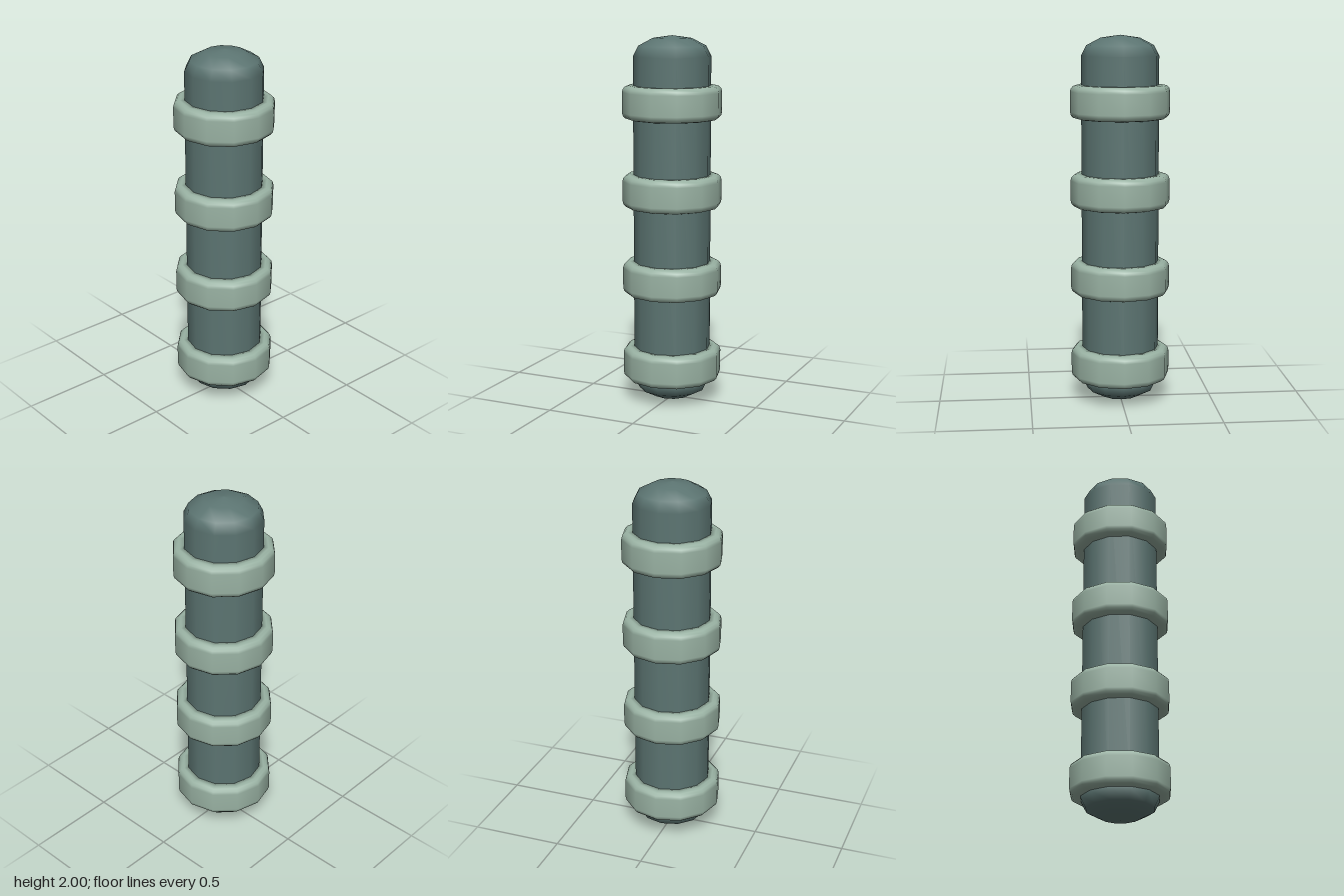
import * as THREE from 'three';

const SIDES = 12;

// Lathe a profile of [radius, y] pairs, listed from bottom to top
function lathe(name, profile, color) {
  const points = profile.map(([r, y]) => new THREE.Vector2(r, y));
  const mesh = new THREE.Mesh(
    new THREE.LatheGeometry(points, SIDES),
    new THREE.MeshStandardMaterial({ color })
  );
  mesh.name = name;
  return mesh;
}

export function createModel() {
  const group = new THREE.Group();
  group.name = 'bandedRod';

  // Rod with flattened domes at both ends
  const radius = 0.21, capHeight = 0.11, height = 2, steps = 3;
  const lower = [];
  for (let i = 0; i <= steps; i++) {
    const a = (i / steps) * Math.PI / 2;
    lower.push([radius * Math.sin(a), capHeight * (1 - Math.cos(a))]);
  }
  const upper = lower.map(([r, y]) => [r, height - y]).reverse();
  group.add(lathe('rod', [...lower, ...upper], 0x5c7572));

  // Evenly spaced bands with rounded outer edges
  const inner = 0.19, outer = 0.27, half = 0.09, round = 0.035;
  const edge = [];
  for (let i = 0; i <= 3; i++) {
    const a = (i / 3) * Math.PI / 2;
    edge.push([outer - round + round * Math.sin(a), -half + round * (1 - Math.cos(a))]);
  }
  const topEdge = edge.map(([r, y]) => [r, -y]).reverse();
  const bandProfile = [[inner, -half], ...edge, ...topEdge, [inner, half], [inner, -half]];
  for (let i = 0; i < 4; i++) {
    const band = lathe('band' + (i + 1), bandProfile, 0x9ab3a4);
    band.position.y = 0.205 + i * 0.48;
    group.add(band);
  }

  return group;
}
